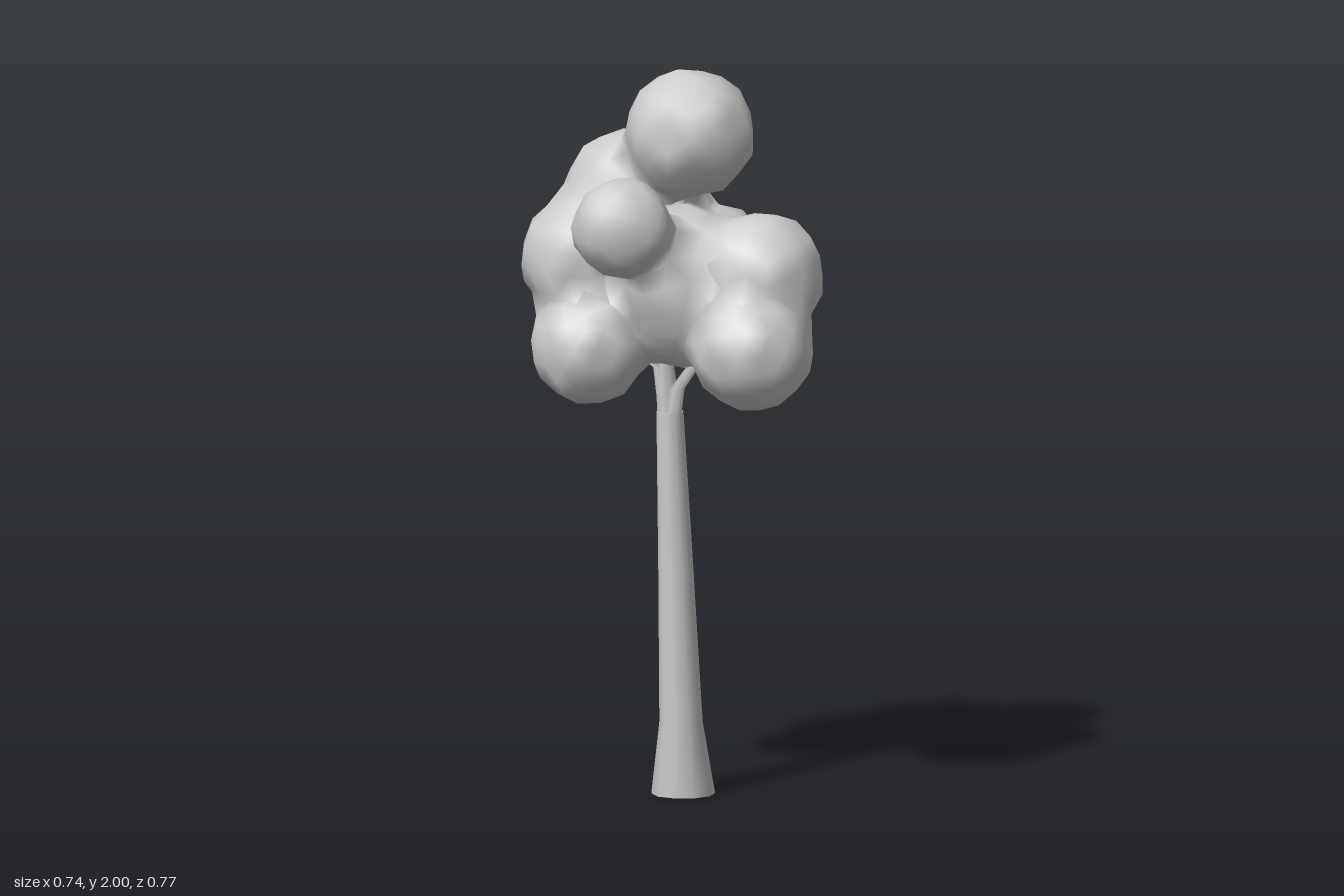
import * as THREE from 'three';

const material = new THREE.MeshStandardMaterial({ color: 0xcccccc });

// Foliage clumps: centre x, y, z, then radius
const clumps = {
  topClump: [0.047, 1.827, 0.008, 0.175],
  upperFrontRightClump: [-0.19, 1.595, 0.112, 0.135],
  frontLeftClump: [0.205, 1.455, 0.16, 0.163],
  lowerFrontClump: [0.147, 1.255, 0.222, 0.167],
  lowerRightClump: [-0.215, 1.235, -0.085, 0.157],
  backLeftClump: [0.187, 1.425, -0.2, 0.16],
  upperBackClump: [-0.05, 1.632, -0.2, 0.175],
  upperBackLeftClump: [0.045, 1.575, -0.235, 0.135],
  backRightClump: [-0.2, 1.47, -0.17, 0.168],
  backClump: [-0.01, 1.44, -0.232, 0.15],
  coreClump: [0.02, 1.43, 0.03, 0.188],
  lowerCoreClump: [0.01, 1.335, 0.01, 0.147],
};

// Smoothly blended distance to all clumps
const balls = Object.values(clumps);
const BLEND = 0.022;
function distance(p) {
  let sum = 0;
  for (const [x, y, z, r] of balls) {
    sum += Math.exp(-(Math.hypot(p.x - x, p.y - y, p.z - z) - r) / BLEND);
  }
  return -BLEND * Math.log(sum);
}

function gradient(p) {
  const e = 0.015;
  const slope = (axis) => {
    const a = p.clone(), b = p.clone();
    a[axis] += e;
    b[axis] -= e;
    return distance(a) - distance(b);
  };
  return new THREE.Vector3(slope('x'), slope('y'), slope('z')).normalize();
}

// Irregular ripple that dents the foliage, and its slope for shading
const ripple = (p) => Math.sin(p.x * 37 + 1) * Math.sin(p.y * 35) * Math.sin(p.z * 39 + 2);
const rippleSlope = (p) => new THREE.Vector3(
  37 * Math.cos(p.x * 37 + 1) * Math.sin(p.y * 35) * Math.sin(p.z * 39 + 2),
  35 * Math.sin(p.x * 37 + 1) * Math.cos(p.y * 35) * Math.sin(p.z * 39 + 2),
  39 * Math.sin(p.x * 37 + 1) * Math.sin(p.y * 35) * Math.cos(p.z * 39 + 2),
);
const DENT = 0.009;

// A low-poly ball whose vertices swell out to the blended crown surface
function makeClump(name, [x, y, z, r], index) {
  const geometry = new THREE.IcosahedronGeometry(1, 2);
  geometry.rotateX(index * 1.3).rotateY(index * 2.1);
  const pos = geometry.attributes.position;
  const normal = geometry.attributes.normal;
  const dir = new THREE.Vector3(), p = new THREE.Vector3();
  for (let i = 0; i < pos.count; i++) {
    dir.fromBufferAttribute(pos, i).normalize();
    let reach = r;
    for (let step = 0; step < 8; step++) {
      p.set(x, y, z).addScaledVector(dir, reach);
      reach = Math.min(reach - distance(p), r * 1.25);
    }
    p.set(x, y, z).addScaledVector(dir, reach);
    const n = gradient(p);
    const shade = n.clone().addScaledVector(rippleSlope(p), -DENT * 0.6).normalize();
    p.addScaledVector(n, DENT * ripple(p));
    pos.setXYZ(i, p.x, p.y, p.z);
    normal.setXYZ(i, shade.x, shade.y, shade.z);
  }
  const mesh = new THREE.Mesh(geometry, material);
  mesh.name = name;
  return mesh;
}

// A tapering limb through rings of centre x, y, z and radius
function makeLimb(name, rings, sides) {
  const last = rings.length - 1;
  const geometry = new THREE.CylinderGeometry(1, 1, 1, sides, last);
  const pos = geometry.attributes.position;
  for (let i = 0; i < pos.count; i++) {
    const [x, y, z, r] = rings[Math.round((pos.getY(i) + 0.5) * last)];
    pos.setXYZ(i, x + pos.getX(i) * r, y, z + pos.getZ(i) * r);
  }
  const mesh = new THREE.Mesh(geometry, material);
  mesh.name = name;
  return mesh;
}

export function createModel() {
  const tree = new THREE.Group();
  tree.name = 'tree';

  // Trunk with a flared foot, leaning slightly as it rises
  tree.add(makeLimb('trunk', [
    [0.029, 0, 0.002, 0.087],
    [0.022, 0.2, 0.004, 0.059],
    [0.006, 0.62, 0.007, 0.048],
    [-0.012, 1.06, 0.009, 0.037],
  ], 10));

  // Branches fanning from the fork into the crown
  const branches = {
    leaderBranch: [[-0.013, 1.04, 0.009, 0.034], [-0.022, 1.2, -0.005, 0.025], [0.01, 1.45, -0.01, 0.018], [0.035, 1.75, 0, 0.01]],
    frontBranch: [[-0.008, 1.02, 0.012, 0.024], [-0.005, 1.13, 0.05, 0.02], [0.06, 1.26, 0.12, 0.015]],
    backBranch: [[-0.013, 1.02, 0, 0.024], [-0.015, 1.18, -0.05, 0.02], [0, 1.42, -0.16, 0.014]],
    rightBranch: [[-0.018, 1.05, 0.005, 0.024], [-0.035, 1.18, -0.005, 0.019], [-0.16, 1.3, -0.06, 0.014]],
    upperRightTwig: [[-0.02, 1.4, 0.03, 0.014], [-0.17, 1.58, 0.1, 0.01]],
    upperBackTwig: [[0.01, 1.56, -0.06, 0.012], [0.03, 1.72, 0.02, 0.009]],
    stubTwig: [[-0.005, 1.03, 0.005, 0.018], [0.022, 1.085, -0.012, 0.012]],
  };
  for (const [name, rings] of Object.entries(branches)) tree.add(makeLimb(name, rings, 7));

  // Crown of merged leafy clumps
  const crown = new THREE.Group();
  crown.name = 'crown';
  Object.entries(clumps).forEach(([name, ball], i) => crown.add(makeClump(name, ball, i)));
  tree.add(crown);

  return tree;
}
